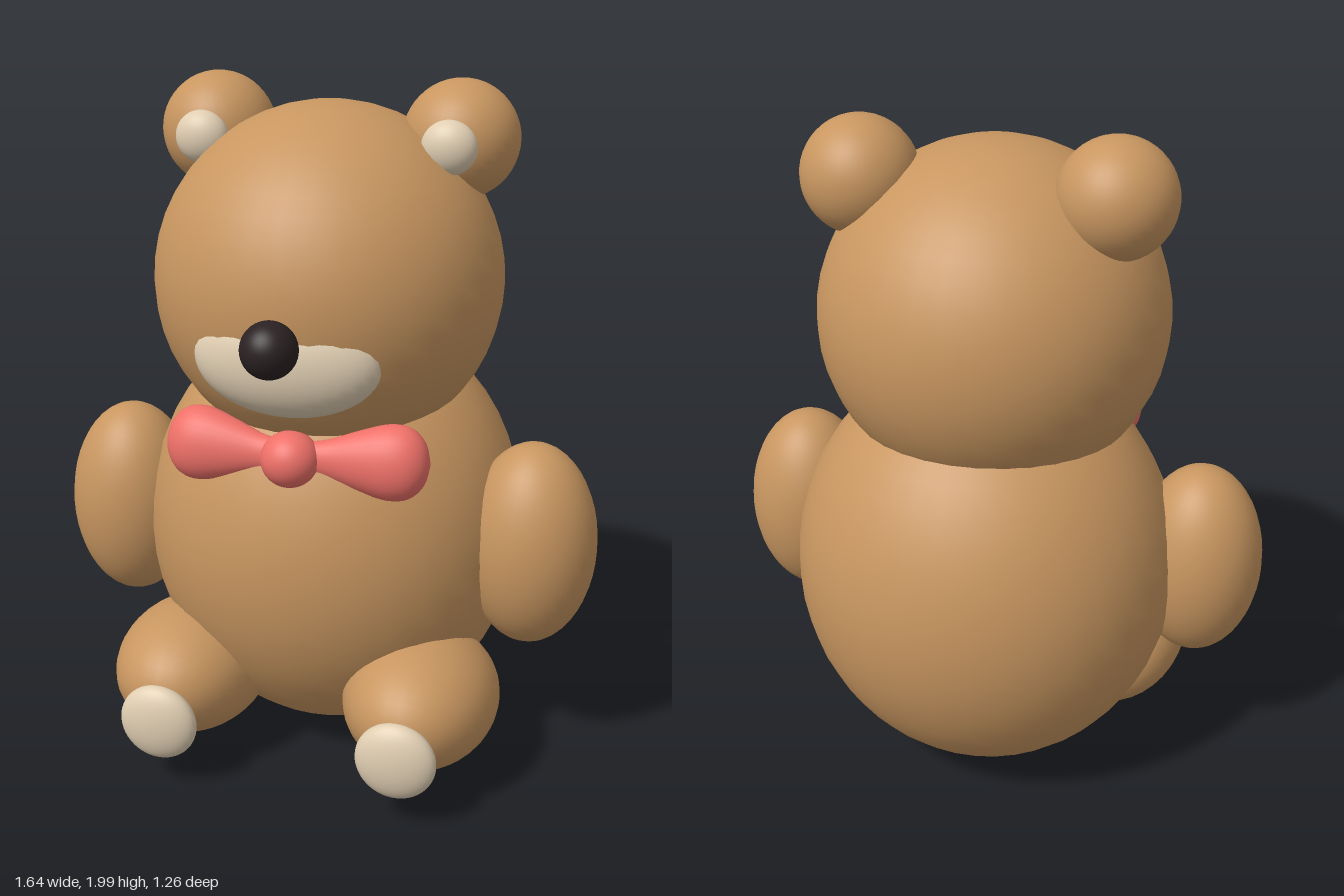
import * as THREE from 'three';

export function createModel() {
  const bear = new THREE.Group();
  bear.name = 'teddyBear';

  const paint = (color) => new THREE.MeshStandardMaterial({ color });
  const fur = paint(0xc89660);
  const cream = paint(0xe0ceb2);
  const black = paint(0x2a2122);
  const red = paint(0xee7068);

  const add = (name, geometry, material, position) => {
    const mesh = new THREE.Mesh(geometry, material);
    mesh.name = name;
    mesh.position.set(...position);
    bear.add(mesh);
    return mesh;
  };

  // Stuffed parts are ellipsoids given by centre and radii
  const ellipsoid = (name, material, position, radii) =>
    add(name, new THREE.SphereGeometry(1, 36, 24).scale(...radii), material, position);

  // Body, head and face
  ellipsoid('body', fur, [0, 0.66, -0.075], [0.578, 0.65, 0.555]);
  ellipsoid('head', fur, [0, 1.435, 0], [0.505, 0.505, 0.505]);
  ellipsoid('muzzle', cream, [0, 1.305, 0.4], [0.262, 0.16, 0.113]);
  ellipsoid('nose', black, [0, 1.375, 0.55], [0.077, 0.077, 0.077]);

  // Bow wing profile: narrow at the knot, round at the outer end
  const wingProfile = new THREE.SplineCurve([
    [0.03, 0.045], [0.1, 0.055], [0.19, 0.085], [0.27, 0.106],
    [0.33, 0.098], [0.37, 0.058], [0.385, 0],
  ].map(([along, radius]) => new THREE.Vector2(radius, along))).getPoints(24);
  wingProfile[wingProfile.length - 1].x = 0;

  for (const [side, s] of [['left', 1], ['right', -1]]) {
    // Ears
    ellipsoid(side + 'Ear', fur, [s * 0.358, 1.835, -0.083], [0.166, 0.166, 0.166]);
    ellipsoid(side + 'InnerEar', cream, [s * 0.355, 1.832, 0.068], [0.078, 0.075, 0.052]);

    // Arms
    ellipsoid(side + 'Arm', fur, [s * 0.627, 0.69, 0.044], [0.193, 0.31, 0.193]);

    // Legs, feet tipped slightly up, with a flat sole pad
    const leg = ellipsoid(side + 'Leg', fur, [s * 0.357, 0.256, 0.25], [0.227, 0.2, 0.315]);
    leg.rotation.x = -0.155;
    ellipsoid(side + 'FootPad', cream, [s * 0.353, 0.22, 0.557], [0.116, 0.116, 0.052]);

    // Bow wings, swept back around the neck
    const wing = new THREE.LatheGeometry(wingProfile, 28)
      .rotateZ(-s * Math.PI / 2)
      .scale(1, 1, 0.72)
      .rotateX(-0.2)
      .rotateY(s * 0.14);
    add(side + 'BowWing', wing, red, [0, 1.015, 0.375]);
  }
  ellipsoid('bowKnot', red, [0, 1.012, 0.383], [0.084, 0.08, 0.08]);

  return bear;
}
